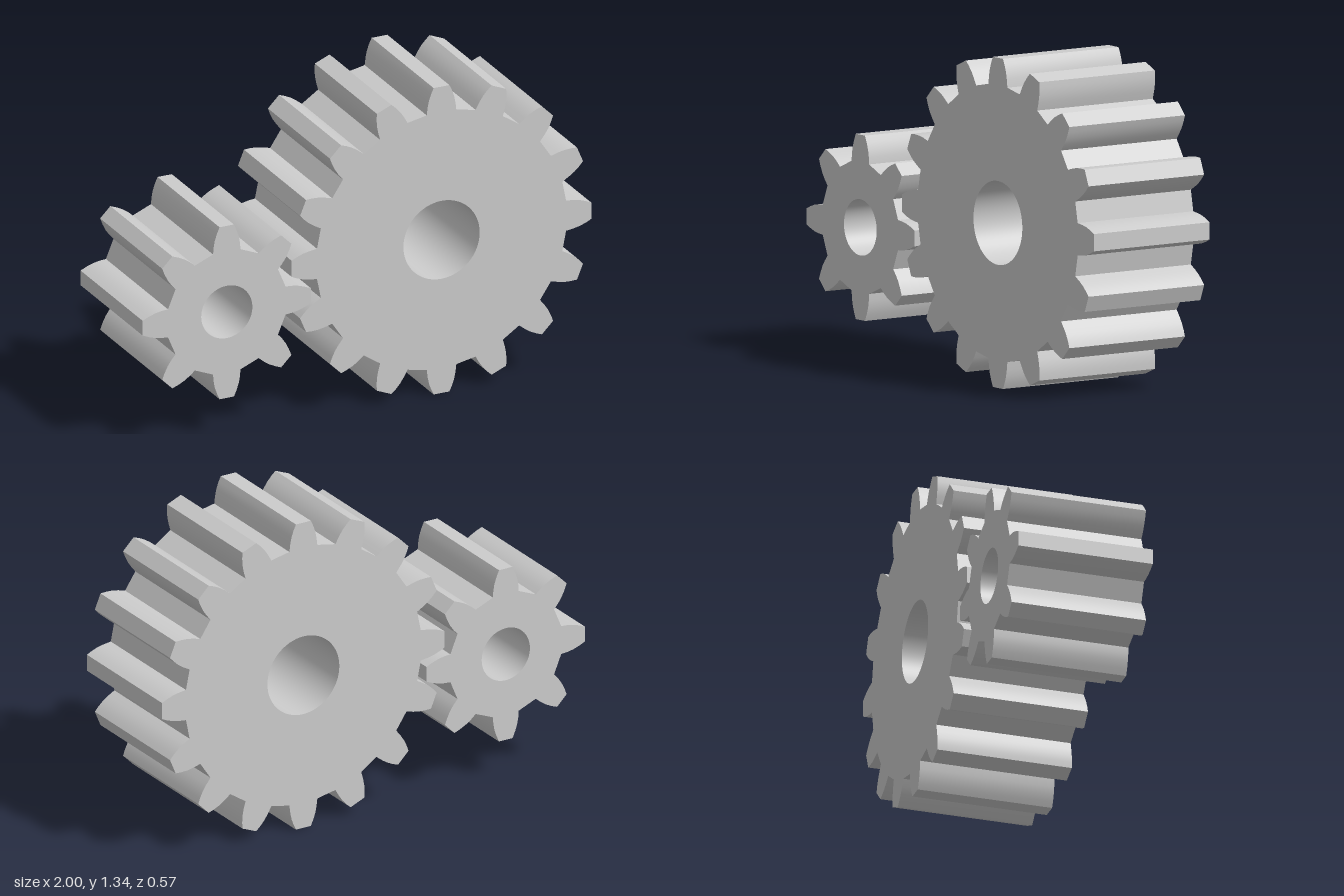
import * as THREE from 'three';
import { toCreasedNormals } from 'three/addons/utils/BufferGeometryUtils.js';

const DEPTH = 0.566;

// Spur gear; flank lists [radial distance, half width] from root to tip of one tooth
function makeGear(name, teeth, bore, flank, x, y) {
  const tooth = [
    ...flank.map(([r, w]) => new THREE.Vector2(r, -w)),
    ...[...flank].reverse().map(([r, w]) => new THREE.Vector2(r, w)),
  ];
  const origin = new THREE.Vector2();
  const outline = [];
  for (let i = 0; i < teeth; i++) {
    const angle = (i / teeth) * Math.PI * 2;
    for (const p of tooth) outline.push(p.clone().rotateAround(origin, angle));
  }
  const shape = new THREE.Shape(outline);
  shape.holes.push(new THREE.Path().absarc(0, 0, bore, 0, Math.PI * 2, true));

  const extruded = new THREE.ExtrudeGeometry(shape, {
    depth: DEPTH, bevelEnabled: false, curveSegments: 32,
  });
  extruded.translate(0, 0, -DEPTH / 2);

  const mesh = new THREE.Mesh(
    toCreasedNormals(extruded, 0.45),
    new THREE.MeshStandardMaterial({ color: 0xcccccc }),
  );
  mesh.name = name;
  mesh.position.set(x, y, 0);
  return mesh;
}

export function createModel() {
  const group = new THREE.Group();
  group.name = 'gearPair';

  // Large gear with 16 teeth
  group.add(makeGear('largeGear', 16, 0.17,
    [[0.555, 0.066], [0.588, 0.062], [0.617, 0.056], [0.645, 0.046], [0.668, 0.035]], 0.332, 0.668));

  // Small gear with 8 teeth, meshing on the right-hand side
  group.add(makeGear('smallGear', 8, 0.114,
    [[0.262, 0.061], [0.29, 0.059], [0.318, 0.054], [0.348, 0.044], [0.375, 0.032]], -0.625, 0.535));

  return group;
}
